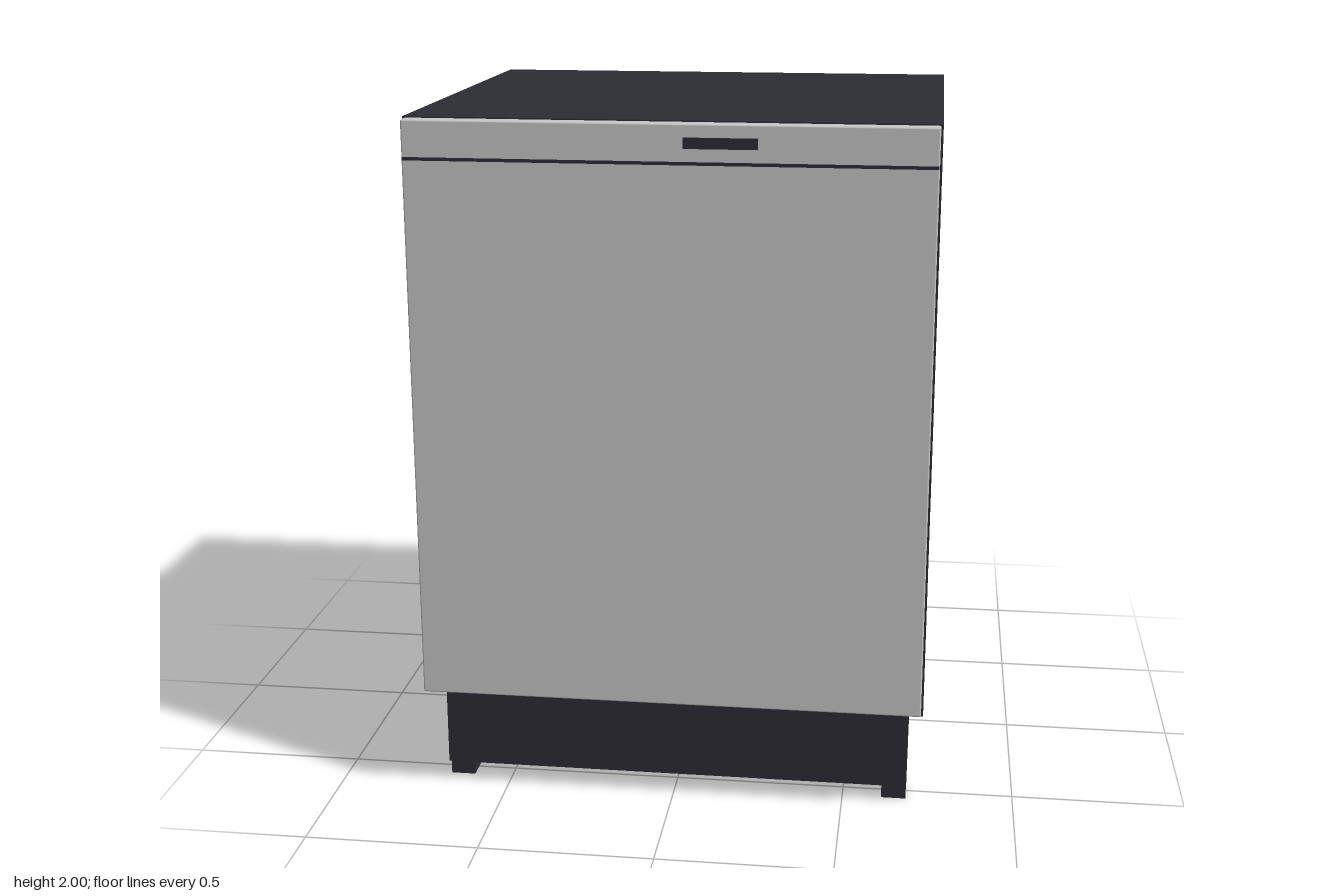
import * as THREE from 'three';
import { RoundedBoxGeometry } from 'three/addons/geometries/RoundedBoxGeometry.js';

const charcoal = new THREE.MeshStandardMaterial({ color: 0x2c2c34 });
charcoal.name = 'charcoal';
const steel = new THREE.MeshStandardMaterial({ color: 0xc8c8c8 });
steel.name = 'steel';

// Box given by its minimum and maximum corners, with optional rounded edges
function block(name, material, min, max, radius = 0) {
  const size = max.map((v, i) => v - min[i]);
  const geometry = radius
    ? new RoundedBoxGeometry(...size, 2, radius)
    : new THREE.BoxGeometry(...size);
  const mesh = new THREE.Mesh(geometry, material);
  mesh.name = name;
  mesh.position.set(...max.map((v, i) => (v + min[i]) / 2));
  return mesh;
}

export function createModel() {
  const model = new THREE.Group();
  model.name = 'dishwasher';

  // Cabinet on a recessed plinth
  model.add(block('cabinet', charcoal, [-0.73, 0.31, -0.695], [0.73, 2, 0.645]));
  model.add(block('plinth', charcoal, [-0.688, 0.05, -0.645], [0.688, 0.31, 0.575]));

  // Front panel with its seam and display slot
  model.add(block('door', steel, [-0.724, 0.328, 0.645], [0.724, 1.997, 0.694], 0.005));
  model.add(block('seam', charcoal, [-0.722, 1.887, 0.69], [0.722, 1.896, 0.696]));
  model.add(block('displaySlot', charcoal, [0.045, 1.931, 0.69], [0.245, 1.961, 0.697]));

  // Two front feet
  for (const [side, x] of [['left', 0.651], ['right', -0.651]]) {
    model.add(block(`${side}Foot`, charcoal, [x - 0.036, 0, 0.48], [x + 0.036, 0.05, 0.552]));
  }
  return model;
}
